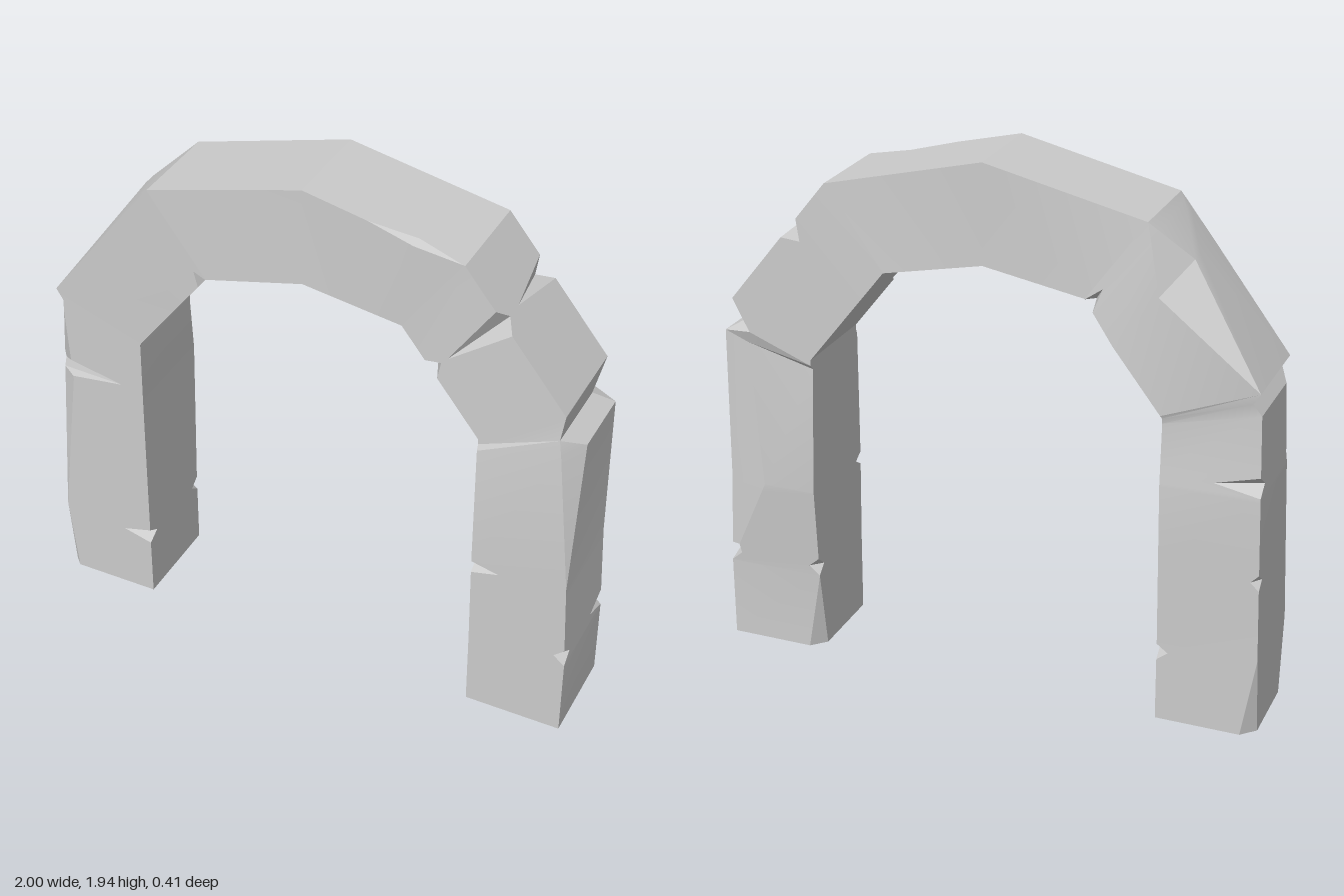
import * as THREE from 'three';
import { toCreasedNormals } from 'three/addons/utils/BufferGeometryUtils.js';

// Stations along the arch: outer x,y, inner x,y, front z, back z, and corner chips.
// Chip = [inset along the front/back face, inset along the outer/inner face];
// of/ob = outer front/back corner, nf/nb = inner front/back corner.
const STATIONS = [
  [-1, 0, -0.645, 0, 0.18, -0.175, { of: [0.03, 0.03], ob: [0.05, 0.05] }],
  [-1, 0.3, -0.643, 0.3, 0.18, -0.175],
  [-0.985, 0.9, -0.638, 0.9, 0.18, -0.19, { of: [0.06, 0.04] }],
  [-0.97, 1.2, -0.635, 1.12, 0.18, -0.17, { of: [0.03, 0.05] }],
  [-0.94, 1.24, -0.635, 1.14, 0.18, -0.175],
  [-0.965, 1.28, -0.63, 1.15, 0.18, -0.18],
  [-0.7, 1.67, -0.46, 1.37, 0.195, -0.18, { of: [0.03, 0.22], ob: [0.14, 0.1] }],
  [-0.56, 1.8, -0.35, 1.51, 0.2, -0.15],
  [0, 1.94, 0, 1.585, 0.18, -0.175],
  [0.56, 1.81, 0.35, 1.52, 0.165, -0.2],
  [0.93, 1.35, 0.635, 1.16, 0.17, -0.2],
  [0.915, 1.25, 0.636, 1.14, 0.17, -0.2, { ob: [0.05, 0.08] }],
  [0.985, 1.21, 0.637, 1.12, 0.18, -0.18, { of: [0.06, 0.08], ob: [0.1, 0.02] }],
  [0.985, 0.65, 0.64, 0.65, 0.185, -0.205, { ob: [0.15, 0.035] }],
  [1, 0.3, 0.643, 0.3, 0.18, -0.175],
  [1, 0, 0.645, 0, 0.18, -0.175, { nb: [0.05, 0.05] }],
];

// Wedge notches: station position, half width, chipped corners
const NOTCHES = [
  [0.88, 0.1, { nf: [0.11, 0.05], nb: [0.04, 0.04] }],
  [1.5, 0.05, { ob: [0.03, 0.04] }],
  [2.17, 0.12, { of: [0.26, 0.05], ob: [0.16, 0.05] }],
  [6.85, 0.14, { nf: [0.05, 0.05], nb: [0.08, 0.08] }],
  [8.7, 0.29, { of: [0.015, 0.03] }],
  [9.38, 0.08, { of: [0.27, 0.05], nf: [0.05, 0.06], ob: [0.06, 0.25] }],
  [13.08, 0.07, { nf: [0.1, 0.04] }],
  [13.89, 0.1, { of: [0.04, 0.05], ob: [0.04, 0.11], nb: [0.04, 0.04] }],
];

const CORNERS = ['of', 'nf', 'nb', 'ob'];

// Eight-point cross-section at position t, two points per corner
function section(t, extra = {}) {
  const i = Math.min(Math.floor(t), STATIONS.length - 2);
  const k = t - i, A = STATIONS[i], B = STATIONS[i + 1];
  const mix = (a, b) => a + (b - a) * k;
  const [ox, oy, nx, ny, zf, zb] = [0, 1, 2, 3, 4, 5].map((n) => mix(A[n], B[n]));
  const chip = {};
  for (const c of CORNERS) {
    const a = A[6]?.[c] ?? [0, 0], b = B[6]?.[c] ?? [0, 0];
    chip[c] = extra[c] ?? [mix(a[0], b[0]), mix(a[1], b[1])];
  }
  const O = new THREE.Vector2(ox, oy), N = new THREE.Vector2(nx, ny);
  const d = N.clone().sub(O).normalize();
  const at = (p, inset, z) => new THREE.Vector3(p.x + d.x * inset, p.y + d.y * inset, z);
  return [
    at(O, 0, zf - chip.of[1]), at(O, chip.of[0], zf),
    at(N, -chip.nf[0], zf), at(N, 0, zf - chip.nf[1]),
    at(N, 0, zb + chip.nb[1]), at(N, -chip.nb[0], zb),
    at(O, chip.ob[0], zb), at(O, 0, zb + chip.ob[1]),
  ];
}

// Skin the sections and cap both feet, skipping collapsed triangles
function loft(rings) {
  const pos = [];
  const tri = (a, b, c) => {
    const area = b.clone().sub(a).cross(c.clone().sub(a)).length();
    if (area > 1e-7) for (const p of [a, b, c]) pos.push(p.x, p.y, p.z);
  };
  const n = 8;
  for (let i = 0; i < rings.length - 1; i++) {
    for (let j = 0; j < n; j++) {
      const a = rings[i][j], b = rings[i][(j + 1) % n];
      const c = rings[i + 1][(j + 1) % n], e = rings[i + 1][j];
      tri(a, b, c);
      tri(a, c, e);
    }
  }
  const first = rings[0], last = rings[rings.length - 1];
  for (let j = 1; j < n - 1; j++) {
    tri(first[0], first[j + 1], first[j]);
    tri(last[0], last[j], last[j + 1]);
  }
  const g = new THREE.BufferGeometry();
  g.setAttribute('position', new THREE.Float32BufferAttribute(pos, 3));
  return toCreasedNormals(g, 0.25);
}

export function createModel() {
  const group = new THREE.Group();
  group.name = 'stoneArch';

  // Plain stations plus three sections for every notch, in order along the arch
  const cuts = STATIONS.map((_, t) => ({ t }));
  for (const [t, h, chips] of NOTCHES) cuts.push({ t: t - h }, { t, chips }, { t: t + h });
  cuts.sort((a, b) => a.t - b.t);

  const arch = new THREE.Mesh(
    loft(cuts.map(({ t, chips }) => section(t, chips))),
    new THREE.MeshStandardMaterial({ color: 0xcccccc })
  );
  arch.name = 'chippedArch';
  group.add(arch);
  return group;
}
